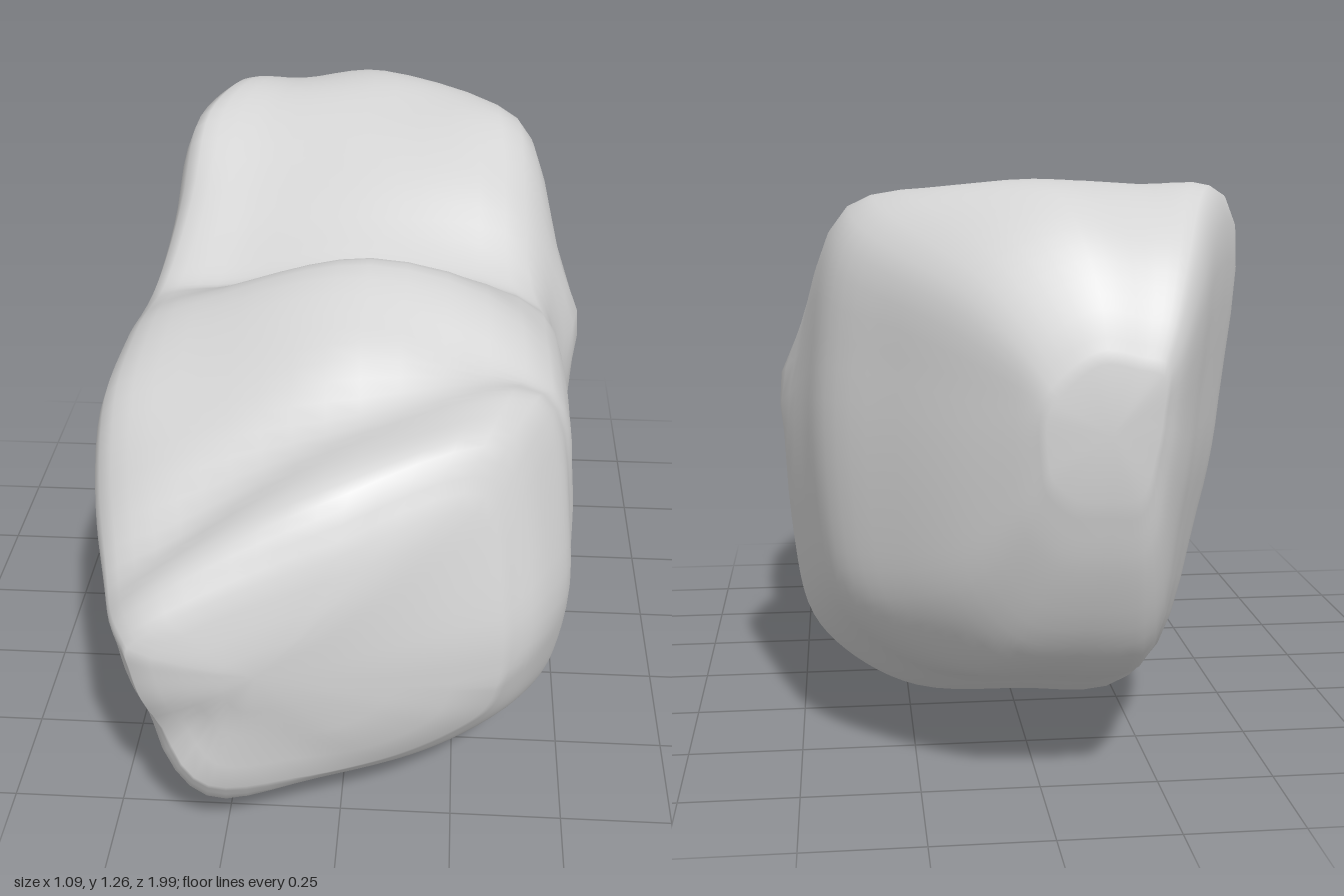
import * as THREE from 'three';

// Cross-sections from back to front:
// z, left x, right x, bottom, top, left shoulder y, right shoulder y, right shoulder x
const SECTIONS = [
  [-0.99, -0.20, 0.02, 0.66, 0.92, 0.89, 0.86, 0.00],
  [-0.95, -0.24, 0.08, 0.50, 1.02, 0.98, 0.94, 0.06],
  [-0.86, -0.29, 0.19, 0.32, 1.14, 1.10, 1.04, 0.16],
  [-0.74, -0.34, 0.31, 0.23, 1.22, 1.18, 1.10, 0.27],
  [-0.60, -0.40, 0.43, 0.18, 1.245, 1.21, 1.15, 0.36],
  [-0.44, -0.455, 0.475, 0.12, 1.21, 1.19, 1.18, 0.38],
  [-0.22, -0.47, 0.52, 0.01, 1.13, 1.06, 1.08, 0.39],
  [-0.04, -0.495, 0.49, 0.0, 1.04, 0.96, 0.96, 0.40],
  [0.05, -0.51, 0.485, 0.0, 1.01, 0.92, 0.93, 0.42],
  [0.11, -0.52, 0.49, 0.0, 1.06, 0.91, 0.94, 0.43],
  [0.22, -0.535, 0.50, 0.01, 1.115, 0.91, 0.95, 0.43],
  [0.42, -0.55, 0.50, 0.01, 1.05, 0.87, 0.94, 0.44],
  [0.62, -0.53, 0.49, 0.02, 0.99, 0.78, 0.95, 0.42],
  [0.80, -0.485, 0.48, 0.07, 0.95, 0.71, 0.95, 0.39],
  [0.92, -0.45, 0.42, 0.15, 0.91, 0.67, 0.93, 0.34],
  [0.98, -0.41, 0.34, 0.24, 0.80, 0.63, 0.83, 0.28],
];
const AROUND = 65;
const ALONG = 64;

// Closed outline of one section, boxy at the shoulders and tapering underneath
function outline([z, left, right, low, high, shoulderL, shoulderR, shoulderX]) {
  const cx = (left + right) / 2, hw = (right - left) / 2, h = high - low;
  const at = (u, y) => new THREE.Vector3(cx + u * hw, y, z);
  const points = [
    at(-0.05, low), at(0.42, low + 0.015 * h), at(0.72, low + 0.085 * h),
    at(0.91, low + 0.18 * h), at(0.99, low + 0.34 * h), at(1, low + 0.64 * h),
    new THREE.Vector3(shoulderX, shoulderR, z), at(0.1, high),
    at(-0.55, high * 0.55 + shoulderL * 0.45), at(-0.97, shoulderL),
    at(-0.96, low + 0.58 * h), at(-0.87, low + 0.35 * h), at(-0.6, low + 0.015 * h),
  ];
  const curve = new THREE.CatmullRomCurve3(points, true, 'centripetal');
  return Array.from({ length: AROUND }, (_, i) => curve.getPoint(i / AROUND));
}

// Slanted front face and gentle weathering
function weather(p) {
  const { x, y, z } = p;
  const { smoothstep } = THREE.MathUtils;
  const slant = smoothstep(z, 0.3, 0.9);
  p.z -= slant * 0.24 * Math.max(0, x + 0.36);
  // brow leaning back towards the left
  p.z -= slant * 0.28 * Math.max(0, x) * smoothstep(y, 0.5, 0.95);
  // undercut at the lower left of the front, and a small notch above the lip
  p.z -= slant * 0.28 * Math.max(0, 0.26 + 0.5 * x - y);
  p.z -= slant * 0.025 * Math.exp(-(((y - 0.4) / 0.07) ** 2)) * smoothstep(-x, 0, 0.3);
  // diagonal groove behind the brow
  p.y -= 0.035 * Math.exp(-(((p.z - 0.62 + 0.55 * x) / 0.09) ** 2)) * smoothstep(y, 0.55, 0.75);
  // soft dents, and a jutting chip on the left flank
  p.y += 0.004 * Math.sin(15 * z - 11 * x + 1) * smoothstep(y, 0.5, 0.9);
  p.x += 0.03 * Math.exp(-(((z + 0.2) / 0.08) ** 2) - ((y - 0.78) / 0.1) ** 2) * smoothstep(x, 0.3, 0.4);
  return p;
}

function boulderGeometry() {
  const rings = SECTIONS.map(outline);
  const tracks = Array.from({ length: AROUND }, (_, i) =>
    new THREE.CatmullRomCurve3(rings.map((r) => r[i]), false, 'centripetal'));
  const position = [], index = [];
  const push = (p) => { weather(p); position.push(p.x, p.y, p.z); };

  // skin lofted through the sections
  for (let j = 0; j <= ALONG; j++) {
    for (const track of tracks) push(track.getPoint(j / ALONG));
  }
  for (let j = 0; j < ALONG; j++) {
    for (let i = 0; i < AROUND; i++) {
      const k = (i + 1) % AROUND;
      const a = j * AROUND + i, b = j * AROUND + k, c = a + AROUND, d = b + AROUND;
      index.push(a, b, c, b, d, c);
    }
  }
  // closed ends, the front one finished with shrinking rings
  const back = position.length / 3;
  push(new THREE.Vector3(-0.1, 0.79, -1));
  const nose = new THREE.Vector3(-0.15, 0.56, 1.02);
  let inner = ALONG * AROUND;
  for (const t of [0.2, 0.45, 0.7]) {
    const start = position.length / 3;
    for (const p of rings[rings.length - 1]) {
      const q = p.clone().lerp(nose, t);
      q.z = p.z + 0.04 * Math.sin(t * Math.PI / 2);
      push(q);
    }
    for (let i = 0; i < AROUND; i++) {
      const k = (i + 1) % AROUND;
      index.push(inner + i, inner + k, start + i, inner + k, start + k, start + i);
    }
    inner = start;
  }
  const tip = position.length / 3;
  push(nose);
  for (let i = 0; i < AROUND; i++) {
    const k = (i + 1) % AROUND;
    index.push(back, k, i, tip, inner + i, inner + k);
  }
  const geometry = new THREE.BufferGeometry();
  geometry.setAttribute('position', new THREE.Float32BufferAttribute(position, 3));
  geometry.setIndex(index);
  geometry.computeVertexNormals();
  return geometry;
}

export function createModel() {
  const group = new THREE.Group();
  group.name = 'rock';
  const stone = new THREE.MeshStandardMaterial({ color: 0xd4d4d4 });
  stone.name = 'grey stone';
  const boulder = new THREE.Mesh(boulderGeometry(), stone);
  boulder.name = 'boulder';
  group.add(boulder);
  return group;
}
